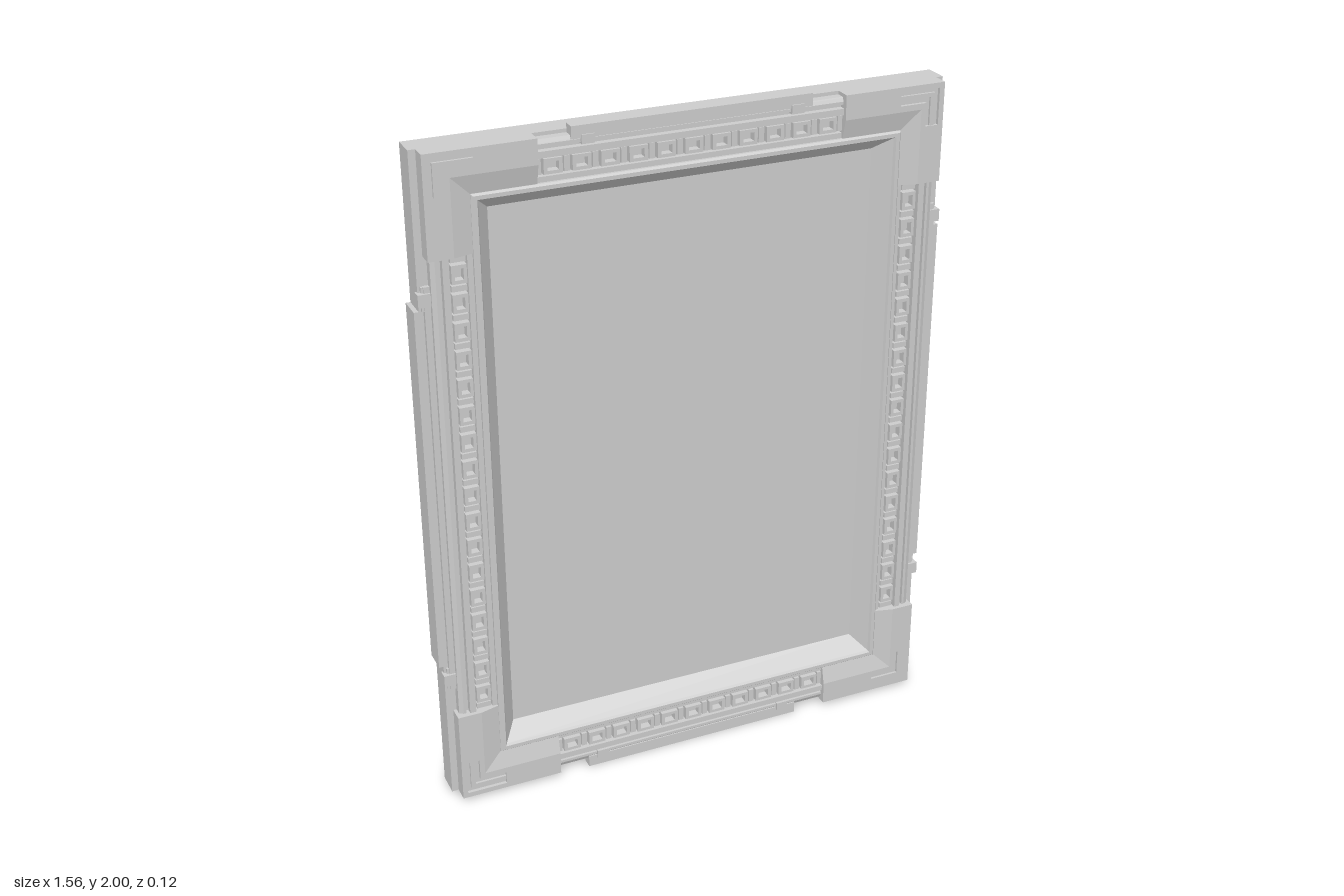
import * as THREE from 'three';

const material = new THREE.MeshStandardMaterial({ color: 0xcccccc, flatShading: true });

function add(parent, name, geometry) {
  const mesh = new THREE.Mesh(geometry, material);
  mesh.name = name;
  parent.add(mesh);
  return mesh;
}

// Box given by its limits on each axis
function block(parent, name, [x0, x1], [y0, y1], [z0, z1]) {
  const mesh = add(parent, name, new THREE.BoxGeometry(x1 - x0, y1 - y0, z1 - z0));
  mesh.position.set((x0 + x1) / 2, (y0 + y1) / 2, (z0 + z1) / 2);
  return mesh;
}

// Flat outline with an optional hole, raised from z0 to z1
function plate(outline, hole, z0, z1) {
  const toPoints = (list) => list.map(([x, y]) => new THREE.Vector2(x, y));
  const shape = new THREE.Shape(toPoints(outline));
  if (hole) shape.holes.push(new THREE.Path(toPoints(hole)));
  return new THREE.ExtrudeGeometry(shape, { depth: z1 - z0, bevelEnabled: false }).translate(0, 0, z0);
}

const rect = (hx, hy) => [[-hx, -hy], [hx, -hy], [hx, hy], [-hx, hy]];

// Mitred moulding: profile of [inset, z]; stations map an inset to [x, y], counter-clockwise
function moulding(profile, stations, closed) {
  const pos = [];
  const at = (i, j) => [...stations[i % stations.length](profile[j][0]), profile[j][1]];
  const tri = (a, b, c) => pos.push(...a, ...b, ...c);
  const spans = closed ? stations.length : stations.length - 1;
  for (let i = 0; i < spans; i++) {
    for (let j = 0; j < profile.length - 1; j++) {
      tri(at(i, j), at(i + 1, j), at(i + 1, j + 1));
      tri(at(i, j), at(i + 1, j + 1), at(i, j + 1));
    }
  }
  if (!closed) {
    for (let j = 1; j < profile.length - 1; j++) {
      tri(at(0, 0), at(0, j), at(0, j + 1));
      tri(at(spans, 0), at(spans, j + 1), at(spans, j));
    }
  }
  const geometry = new THREE.BufferGeometry();
  geometry.setAttribute('position', new THREE.Float32BufferAttribute(pos, 3));
  geometry.computeVertexNormals();
  return geometry;
}

const ring = (hx, hy, profile) =>
  moulding(profile, rect(1, 1).map(([sx, sy]) => (d) => [sx * (hx - d), sy * (hy - d)]), true);

// One corner block: plateau with an L-shaped groove, and a slope towards the picture
function corner(parent, sx, sy) {
  const group = new THREE.Group();
  group.name = 'cornerBlock';
  parent.add(group);
  const mirror = (list) => list.map(([x, y]) => [x * sx, y * sy]);
  const outline = mirror([[0.745, 0.7], [0.745, 0.985], [0.44, 0.985], [0.44, 0.915], [0.675, 0.915], [0.675, 0.7]]);
  const groove = mirror([[0.73, 0.865], [0.73, 0.97], [0.61, 0.97], [0.61, 0.932], [0.69, 0.932], [0.69, 0.865]]);
  const ridge = mirror([[0.718, 0.865], [0.718, 0.958], [0.61, 0.958], [0.61, 0.946], [0.704, 0.946], [0.704, 0.865]]);
  add(group, 'cornerBase', plate(outline, null, 0.01, 0.046));
  add(group, 'cornerTop', plate(outline, groove, 0.046, 0.056));
  add(group, 'cornerRidge', plate(ridge, null, 0.046, 0.053));
  const stations = [
    (d) => [sx * (0.745 - d), sy * 0.7],
    (d) => [sx * (0.745 - d), sy * (0.985 - d)],
    (d) => [sx * 0.44, sy * (0.985 - d)],
  ];
  if (sx * sy < 0) stations.reverse();
  add(group, 'cornerSlope', moulding([[0.07, 0.01], [0.07, 0.056], [0.125, 0.042], [0.125, 0.01]], stations, false));
}

// Row of hollow squares with bars between them, laid along x and then turned
function dentilRow(parent, count, pitch, x, y, turn) {
  const row = new THREE.Group();
  row.name = 'dentilRow';
  row.position.set(x, y, 0);
  row.rotation.z = turn;
  parent.add(row);
  const square = plate(rect(0.026, 0.021), rect(0.016, 0.012), 0.018, 0.041);
  const bar = new THREE.BoxGeometry(0.016, 0.042, 0.018).translate(0, 0, 0.027);
  for (let i = 0; i <= count; i++) {
    const offset = (i - (count - 1) / 2) * pitch;
    if (i < count) add(row, 'dentil', square).position.x = offset;
    add(row, 'dentilBar', bar).position.x = offset - pitch / 2;
  }
}

export function createModel() {
  const model = new THREE.Group();
  model.name = 'pictureFrame';
  const frame = new THREE.Group();
  frame.name = 'frame';
  frame.position.y = 1;
  model.add(frame);

  // Backing with the picture panel, and the ledge around it
  block(frame, 'backPanel', [-0.765, 0.765], [-0.985, 0.985], [-0.062, -0.01]);
  add(frame, 'backLedge', plate(rect(0.765, 0.985), rect(0.61, 0.85), -0.01, 0.01));

  // Stepped rails with the dentil channel
  add(frame, 'rails', ring(0.735, 0.975, [
    [0, 0.01], [0, 0.034], [0.012, 0.04], [0.02, 0.04], [0.02, 0.026], [0.03, 0.026], [0.03, 0.045],
    [0.048, 0.045], [0.048, 0.018], [0.1, 0.018], [0.1, 0.036], [0.115, 0.036], [0.115, 0.01],
  ]));

  // Raised lip and slope down to the panel
  add(frame, 'innerBevel', ring(0.62, 0.86, [
    [0, 0.01], [0, 0.044], [0.005, 0.05], [0.016, 0.05], [0.02, 0.042], [0.06, -0.01],
  ]));

  for (const sx of [-1, 1]) for (const sy of [-1, 1]) corner(frame, sx, sy);

  for (const s of [-1, 1]) {
    const span = (a, b) => (s > 0 ? [a, b] : [-b, -a]);
    dentilRow(frame, 17, 0.081, s * 0.66, 0, Math.PI / 2);
    dentilRow(frame, 11, 0.079, 0, s * 0.902, 0);

    // Side tabs, strips and pegs
    block(frame, 'sideTab', span(0.745, 0.778), [-0.545, 0.55], [-0.062, 0.01]);
    block(frame, 'sideStrip', span(0.73, 0.752), [-0.62, 0.62], [0.005, 0.022]);
    for (const y of [-0.585, 0.585]) {
      block(frame, 'sidePeg', span(0.725, 0.77), [y - 0.018, y + 0.018], [0, 0.028]);
      block(frame, 'pegStem', span(0.735, 0.758), [y - 0.034, y + 0.034], [0, 0.018]);
    }

    // Top and bottom tabs
    block(frame, 'endTab', [-0.345, 0.345], span(0.965, 1), [0.01, 0.043]);
    for (const x of [-0.3, 0.3]) block(frame, 'endPeg', [x - 0.018, x + 0.018], span(0.95, 0.975), [0.02, 0.047]);
  }
  return model;
}
